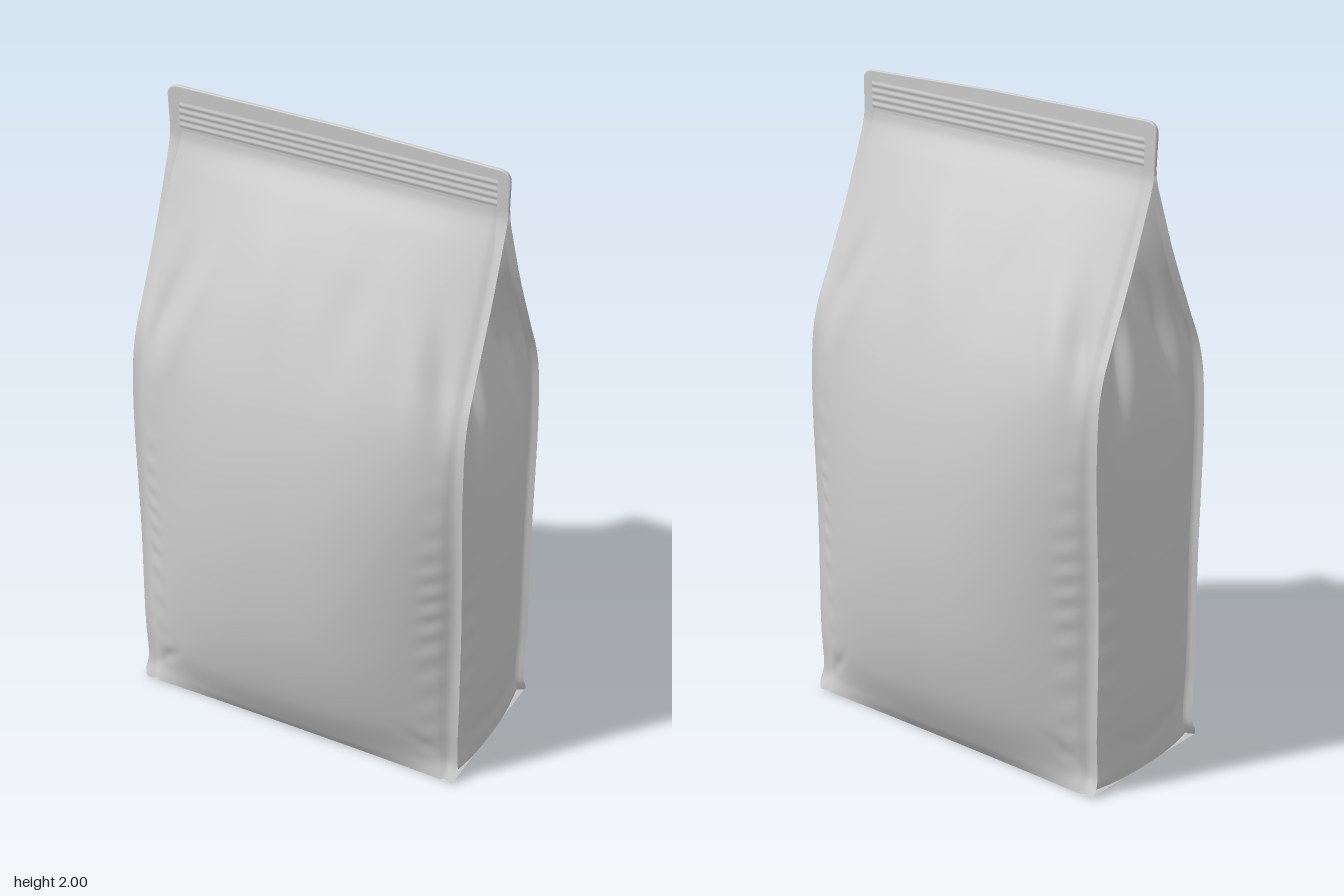
import * as THREE from 'three';

const material = new THREE.MeshStandardMaterial({ color: 0xcccccc, side: THREE.DoubleSide });

// Smooth curve through [height, value] pairs
function profile(pts) {
  const slope = i => {
    const a = pts[Math.max(i - 1, 0)], b = pts[Math.min(i + 1, pts.length - 1)];
    return (b[1] - a[1]) / (b[0] - a[0]);
  };
  return y => {
    let i = 0;
    while (i < pts.length - 2 && y > pts[i + 1][0]) i++;
    const [y0, a] = pts[i], [y1, b] = pts[i + 1], h = y1 - y0;
    const t = THREE.MathUtils.clamp((y - y0) / h, 0, 1), t2 = t * t, t3 = t2 * t;
    return (2 * t3 - 3 * t2 + 1) * a + (t3 - 2 * t2 + t) * h * slope(i)
      + (3 * t2 - 2 * t3) * b + (t3 - t2) * h * slope(i + 1);
  };
}

const TOP = 1.86;
// depth of the bulging panel at the middle, and of the corner seams
const midDepth = profile([[0, 0.255], [0.05, 0.292], [0.2, 0.36], [0.4, 0.402], [0.6, 0.414], [0.8, 0.405],
  [1, 0.377], [1.2, 0.325], [1.4, 0.247], [1.6, 0.148], [1.75, 0.064], [1.83, 0.015], [TOP, 0.007]]);
const seamDepth = profile([[0, 0.26], [0.06, 0.238], [0.2, 0.243], [0.6, 0.243], [1, 0.257], [1.2, 0.25],
  [1.3, 0.228], [1.4, 0.184], [1.6, 0.095], [1.75, 0.037], [1.83, 0.009], [TOP, 0.006]]);
// half width at the seams, and of the side panel along its centre line
const seamWidth = profile([[0, 0.55], [0.02, 0.56], [0.08, 0.555], [0.3, 0.557], [1.1, 0.552], [1.4, 0.546], [TOP, 0.545]]);
const sideWidth = profile([[0, 0.552], [0.1, 0.562], [0.3, 0.578], [0.6, 0.584], [0.9, 0.58], [1.1, 0.566],
  [1.2, 0.55], [1.3, 0.524], [1.4, 0.49], [1.6, 0.425], [TOP, 0.38]]);

const bump = (d, w) => Math.exp(-(d * d) / (w * w));

// Grid whose vertices are placed by rule(u in -1..1, v in 0..1)
function sheet(name, nu, nv, rule) {
  const geo = new THREE.PlaneGeometry(2, 1, nu, nv);
  const pos = geo.attributes.position;
  for (let i = 0; i < pos.count; i++) pos.setXYZ(i, ...rule(pos.getX(i), pos.getY(i) + 0.5));
  geo.computeVertexNormals();
  const mesh = new THREE.Mesh(geo, material);
  mesh.name = name;
  return mesh;
}

// Front or back wall: bulging pouch between two flat seam strips
function facePanel(name) {
  return sheet(name, 110, 160, (u, v) => {
    const y = v * TOP, x = u * seamWidth(y), ax = Math.abs(x);
    const s = Math.min(ax / 0.54, 1), inside = 1 - s ** 8;
    let z = seamDepth(y) + (midDepth(y) - seamDepth(y)) * (1 - s ** 2.5);
    // pressed line where the seam strip begins
    z -= 0.005 * bump(ax - 0.522, 0.012);
    // ripples beside the seams
    z += 0.0025 * Math.sin(y * 72 + 2 * Math.sin(y * 9)) * bump(ax - 0.475, 0.03) * bump(y - 0.6, 0.42);
    // slanting dents at the shoulders
    const along = y - 1.36, across = ax - 0.46 + along * 0.25;
    z -= 0.02 * bump(across, 0.035) * bump(along, 0.14) * inside;
    z += 0.008 * bump(across + 0.08, 0.04) * bump(along, 0.16);
    // soft folds running down from the seal
    z += 0.006 * bump(x + 0.13 - (1.6 - y) * 0.15, 0.06) * bump(y - 1.55, 0.17);
    z -= 0.006 * bump(x - 0.16 + (1.6 - y) * 0.15, 0.07) * bump(y - 1.5, 0.17);
    // creases fanning out of the bottom corners
    z -= 0.006 * bump(ax - 0.46 + (y - 0.12) * 0.8, 0.025) * bump(y - 0.12, 0.06);
    return [x, y, Math.max(z, 0.005)];
  });
}

// Side gusset: swells low down and tucks inward toward the seal
function sidePanel(name) {
  return sheet(name, 80, 160, (u, v) => {
    const y = v * TOP, edge = seamWidth(y), depth = seamDepth(y), a = Math.abs(u);
    const root = edge - 0.025;
    // outer strip lies against the seam of the wall
    if (a > 0.95) {
      return [THREE.MathUtils.lerp(root, edge, (a - 0.95) / 0.05), y, -u * depth];
    }
    const s = a / 0.95, z = a * depth;
    const tuck = THREE.MathUtils.smoothstep(y, 1.1, 1.5);
    const shape = THREE.MathUtils.lerp(1 - s ** 2.6, 1 - s ** 1.4, tuck);
    let x = root + (sideWidth(y) - root) * shape;
    // two valleys spread down from the apex, leaving a pointed pillow between
    const valley = 0.2 * (TOP - y);
    x -= 0.034 * bump(z - valley, 0.035) * bump(y - 1.36, 0.16) * (1 - s ** 4);
    x += 0.012 * bump(z - valley - 0.07, 0.03) * bump(y - 1.3, 0.1) * (1 - s ** 4);
    // small ripples by the seams and a dent above the base
    x += 0.002 * Math.sin(y * 60) * bump(s - 0.8, 0.12) * bump(y - 0.5, 0.4);
    x -= 0.005 * bump(y - 0.09 - 0.06 * s, 0.035) * (1 - s * s);
    return [x, y, -u * depth];
  });
}

// Flat sealed strip with rounded upper corners, dipping slightly to one side
function topSeal() {
  const w = 0.543, low = 1.85, r = 0.03;
  const shape = new THREE.Shape();
  shape.moveTo(-w + 0.002, low);
  shape.lineTo(w - 0.002, low);
  shape.lineTo(w, 1.977 - r);
  shape.quadraticCurveTo(w, 1.977, w - r, 1.979);
  shape.lineTo(0.05, 1.993);
  shape.lineTo(-w + r, 1.996);
  shape.quadraticCurveTo(-w - 0.003, 1.996, -w - 0.003, 1.996 - r);
  shape.closePath();
  const geo = new THREE.ExtrudeGeometry(shape, {
    depth: 0.006, bevelEnabled: true, bevelSize: 0.004, bevelThickness: 0.003, bevelSegments: 3, curveSegments: 8
  });
  geo.translate(0, 0, -0.003);
  const mesh = new THREE.Mesh(geo, material);
  mesh.name = 'topSeal';
  return mesh;
}

// Shallow zip ridges on one face of the seal
function zipStrip(name) {
  return sheet(name, 2, 64, (u, v) =>
    [u * 0.51, 1.868 + v * 0.084, 0.0062 + 0.0013 * (1 - Math.cos(v * Math.PI * 8))]);
}

export function createModel() {
  const bag = new THREE.Group();
  bag.name = 'gussetedBag';

  // Walls, gussets and zip strips come in opposite pairs
  const pairs = [
    [facePanel('frontPanel'), facePanel('backPanel')],
    [sidePanel('leftGusset'), sidePanel('rightGusset')],
    [zipStrip('frontZipStrip'), zipStrip('backZipStrip')]
  ];
  for (const [part, opposite] of pairs) {
    opposite.rotation.y = Math.PI;
    bag.add(part, opposite);
  }

  // Base facing down, lifted a little inside its rim
  const base = sheet('base', 40, 24, (u, v) => {
    const w = v * 2 - 1;
    const lift = 0.01 * Math.min(1, (1 - Math.abs(u)) * 20, (1 - Math.abs(w)) * 10);
    return [u * 0.55, lift, w * THREE.MathUtils.lerp(0.255, 0.26, u ** 8)];
  });

  bag.add(base, topSeal());
  return bag;
}
